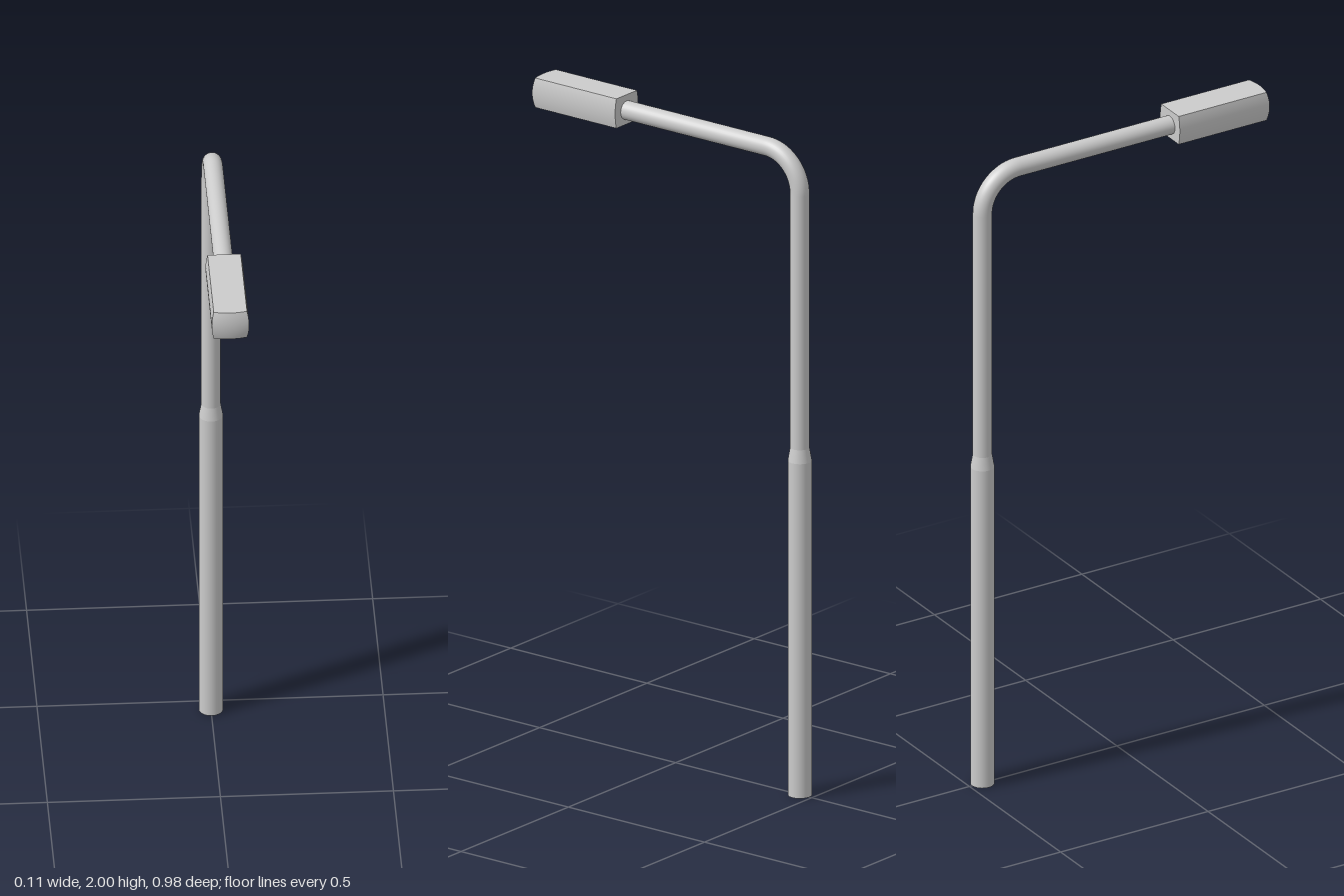
import * as THREE from 'three';

const POLE_Z = -0.456, ARM_Y = 1.953, BEND = 0.12, TUBE_R = 0.028, SIDES = 32;
const HEAD_BACK = 0.18, HEAD_FRONT = 0.478, HEAD_HALF_H = 0.045;

export function createModel() {
  const group = new THREE.Group();
  const material = new THREE.MeshStandardMaterial({ color: 0xcccccc });
  const add = (name, geometry, x, y, z) => {
    const mesh = new THREE.Mesh(geometry, material);
    mesh.name = name;
    mesh.position.set(x, y, z);
    group.add(mesh);
    return mesh;
  };

  // Thick lower pole, and the collar tapering to the thinner tube
  add('lowerPole', new THREE.CylinderGeometry(0.035, 0.035, 1.02, SIDES), 0, 0.51, POLE_Z);
  add('taperCollar', new THREE.CylinderGeometry(TUBE_R, 0.035, 0.04, SIDES, 1, true), 0, 1.04, POLE_Z);

  // Upper pole, quarter bend and horizontal arm share one radius
  const bendY = ARM_Y - BEND, bendZ = POLE_Z + BEND;
  const tube = (length) => new THREE.CylinderGeometry(TUBE_R, TUBE_R, length, SIDES, 1, true);
  add('upperPole', tube(bendY - 1.06), 0, (bendY + 1.06) / 2, POLE_Z);
  add('bend', new THREE.TorusGeometry(BEND, TUBE_R, SIDES, 20, Math.PI / 2), 0, bendY, bendZ)
    .rotation.y = Math.PI / 2;
  add('arm', tube(HEAD_BACK - bendZ), 0, ARM_Y, (HEAD_BACK + bendZ) / 2)
    .rotation.x = Math.PI / 2;

  // Lamp head: a box with bowed sides and a domed front end
  const head = new THREE.BoxGeometry(2, 2, 2, 12, 12, 1);
  const p = head.attributes.position;
  for (let i = 0; i < p.count; i++) {
    const u = p.getX(i), v = p.getY(i), front = p.getZ(i) > 0;
    const halfWidth = 0.048 + 0.006 * (1 - v * v);
    const dome = 0.007 * (1 - u * u) + 0.007 * (1 - v * v);
    p.setXYZ(i, u * halfWidth, v * HEAD_HALF_H, front ? HEAD_FRONT + dome : HEAD_BACK);
  }
  head.computeVertexNormals();
  add('lampHead', head, 0, 2 - HEAD_HALF_H, 0);

  return group;
}
